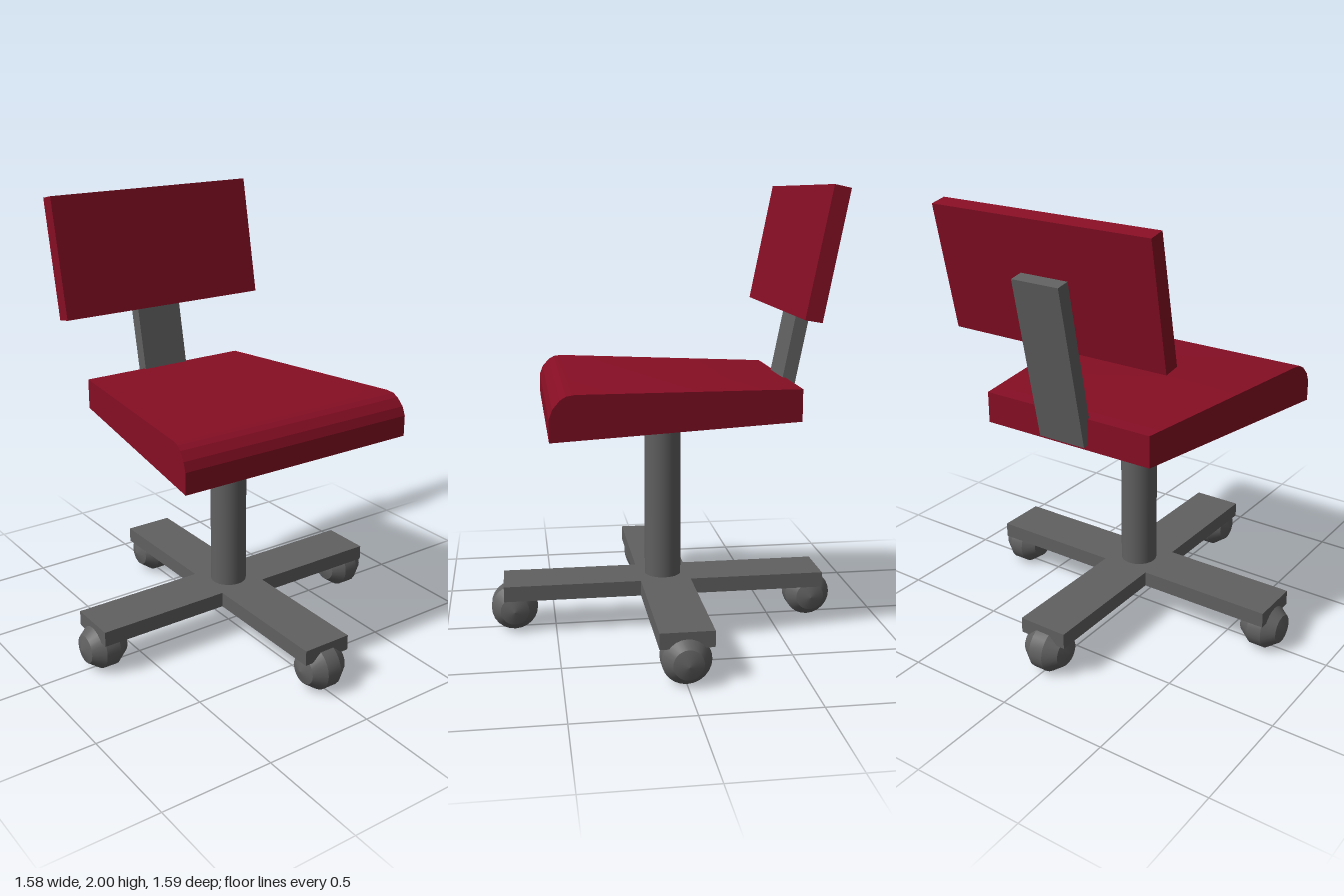
import * as THREE from 'three';
import { toCreasedNormals } from 'three/addons/utils/BufferGeometryUtils.js';

export function createModel() {
  const chair = new THREE.Group();
  chair.name = 'swivelChair';
  const red = new THREE.MeshStandardMaterial({ color: 0x860e24 });
  red.name = 'red upholstery';
  const grey = new THREE.MeshStandardMaterial({ color: 0x606060 });
  grey.name = 'grey metal';

  const add = (name, geometry, material, x = 0, y = 0, z = 0) => {
    const mesh = new THREE.Mesh(geometry, material);
    mesh.name = name;
    mesh.position.set(x, y, z);
    chair.add(mesh);
    return mesh;
  };

  // Side profile in x and y, extruded symmetrically along z
  const slab = (points, width) => {
    const shape = new THREE.Shape(points.map(([x, y]) => new THREE.Vector2(x, y)));
    return new THREE.ExtrudeGeometry(shape, { depth: width, bevelEnabled: false })
      .translate(0, 0, -width / 2);
  };

  // Seat: rounded front edge, widening from the back to the front
  const seat = slab([
    [-0.54, 1.015], [0.535, 0.99], [0.535, 1.085], [0.52, 1.125],
    [0.49, 1.16], [0.465, 1.175], [0.43, 1.18], [-0.54, 1.155],
  ], 2);
  const p = seat.attributes.position;
  for (let i = 0; i < p.count; i++) {
    const halfWidth = 0.42 + (p.getX(i) + 0.54) * 0.147;
    p.setZ(i, p.getZ(i) * halfWidth);
  }
  seat.computeVertexNormals();
  add('seat', toCreasedNormals(seat, 0.3), red);

  // Leaning backrest and its support bar
  add('backrest', slab([[-0.69, 1.985], [-0.585, 1.445], [-0.512, 1.458], [-0.62, 2]], 1.05), red);
  add('backSupport', slab([[-0.705, 1.743], [-0.565, 1.035], [-0.506, 1.047], [-0.645, 1.755]], 0.23), grey);

  // Post
  add('post', new THREE.CylinderGeometry(0.083, 0.083, 0.82, 32), grey, 0, 0.61, 0);

  // Cross base: one long bar and two short arms
  add('baseBar', new THREE.BoxGeometry(1.47, 0.07, 0.23), grey, 0, 0.195, 0);
  for (const s of [-1, 1]) {
    add('baseArm', new THREE.BoxGeometry(0.23, 0.07, 0.62), grey, 0, 0.195, s * 0.425);
  }

  // Casters: faceted profile turned about the z axis
  const caster = toCreasedNormals(
    new THREE.SphereGeometry(0.11, 24, 5).rotateX(Math.PI / 2), 0.45);
  for (const [x, z] of [[0.687, 0], [-0.687, 0], [0, 0.687], [0, -0.687]]) {
    add('caster', caster, grey, x, 0.105, z);
  }

  return chair;
}
